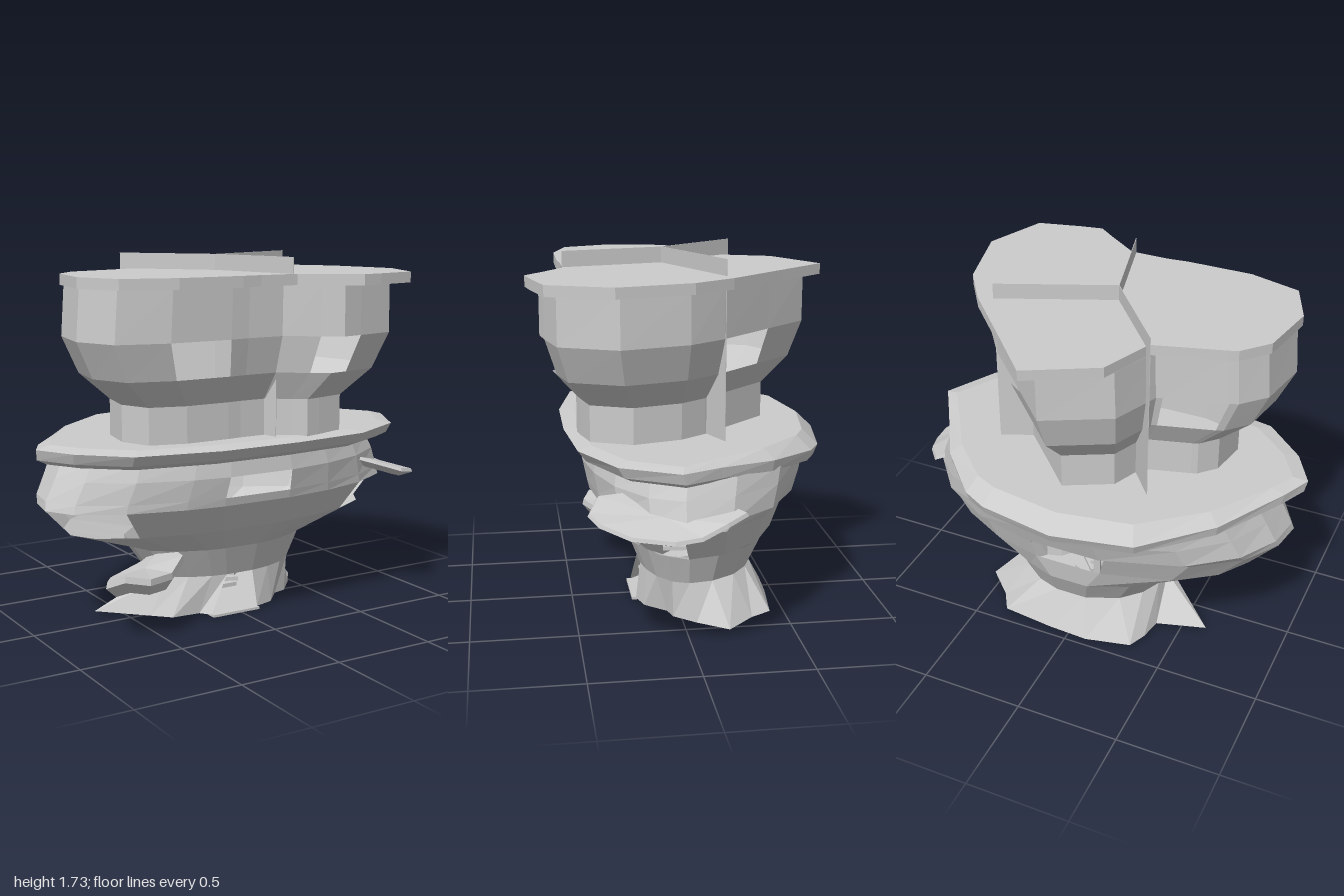
import * as THREE from 'three';

const material = new THREE.MeshStandardMaterial({ color: 0xcccccc, flatShading: true, side: THREE.DoubleSide });

// Joins rings of [x, y, z] points into a faceted skin; skip(row, i) leaves an opening.
function loft(name, rings, { skip = () => false, bottom = false, top = false } = {}) {
  const n = rings[0].length, pos = rings.flat(2), index = [];
  rings.slice(1).forEach((_, k) => {
    for (let i = 0; i < n; i++) {
      if (skip(k, i)) continue;
      const a = k * n + i, b = k * n + (i + 1) % n;
      index.push(a, a + n, b, b, a + n, b + n);
    }
  });
  const cap = (k, flip) => {
    const centre = pos.length / 3;
    for (let c = 0; c < 3; c++) pos.push(rings[k].reduce((s, p) => s + p[c], 0) / n);
    for (let i = 0; i < n; i++) {
      const a = k * n + i, b = k * n + (i + 1) % n;
      index.push(centre, flip ? a : b, flip ? b : a);
    }
  };
  if (bottom) cap(0, true);
  if (top) cap(rings.length - 1, false);
  const g = new THREE.BufferGeometry();
  g.setAttribute('position', new THREE.Float32BufferAttribute(pos, 3));
  g.setIndex(index);
  g.computeVertexNormals();
  const mesh = new THREE.Mesh(g, material);
  mesh.name = name;
  return mesh;
}

// Scales a plan outline of [x, z] points about a centre, at height y(z).
const scaled = (outline, y, sx, sz, cx, cz) =>
  outline.map(([x, z]) => [cx + (x - cx) * sx, y(z), cz + (z - cz) * sz]);

// Trunk: flared foot, bowl body, door and windows
function makeBody() {
  const angles = [2, 24, 46, 64, 80, 102, 114, 134, 156, 178, 194, 212, 232, 258, 282, 300, 320, 342];
  const foot = [[.45, -.06], [.36, .04], [.29, .06], [.2, .16], [.1, .19], [-.16, .19], [-.2, .14], [-.34, .13],
    [-.42, .05], [-.62, -.15], [-.38, -.22], [-.36, -.33], [-.32, -.42], [-.1, -.47], [.1, -.46], [.36, -.43],
    [.42, -.33], [.55, -.2]].map(([x, z]) => [x, 0.01, z]);
  // y, left x, right x, front z, back z
  const levels = [
    [.19, -.36, .40, .17, -.38], [.34, -.47, .46, .23, -.46], [.46, -.82, .80, .33, -.48], [.60, -.96, .90, .42, -.53],
    [.64, -.95, .89, .43, -.59], [.74, -.90, .85, .45, -.63], [.82, -.86, .81, .44, -.65],
  ];
  const rings = levels.map(([y, x0, x1, zf, zb]) => angles.map(d => {
    const a = d * Math.PI / 180, s = Math.sin(a), zc = zb + (zf - zb) * .62;
    return [(x0 + x1) / 2 + (x1 - x0) / 2 * Math.cos(a), y, zc + (s > 0 ? zf - zc : zc - zb) * s];
  }));
  const skip = (row, i) =>
    (row === 0 && i === 4) || (row === 3 && [0, 1, 7, 8, 13].includes(i)) || (row === 5 && i === 4);
  return loft('body', [foot, ...rings], { skip, bottom: true });
}

// Broad deck, dipping towards the back
function makeDeck() {
  const outline = [[.93, .08], [.79, .34], [.5, .49], [.1, .53], [-.3, .53], [-.7, .45], [-.9, .26], [-1, .08],
    [-.93, -.06], [-.72, -.38], [-.42, -.64], [-.04, -.71], [.33, -.65], [.45, -.59], [.66, -.37], [.82, -.1]];
  const dip = y => z => y - 0.06 * Math.max(0, -z / 0.7);
  return loft('deck', [
    scaled(outline, dip(.81), .94, .85, 0, -.07), scaled(outline, dip(.835), .99, .95, 0, -.25),
    scaled(outline, dip(.885), 1, 1, 0, -.05), scaled(outline, () => .9, .93, .88, 0, -.05),
  ], { bottom: true, top: true });
}

// Upper storey of three joined rooms under one flat roof
function makeTower() {
  const group = new THREE.Group();
  group.name = 'tower';
  const plan = [[.55, -.2], [.68, -.01], [.77, .34], [.65, .63], [.44, .68], [.33, .7], [.24, .63], [.09, .52],
    [-.1, .52], [-.2, .53], [-.52, .53], [-.77, .46], [-.86, .24], [-.81, -.05], [-.7, -.17], [-.66, -.185],
    [-.36, -.27], [-.33, -.28], [-.23, -.53], [.09, -.7], [.3, -.47]];
  const at = (y, sx, sz, dx = 0) =>
    scaled(plan, () => y, sx, sz, -.05, .05).map(([x, h, z]) => [x + dx, h, z]);
  const walls = [at(.89, .68, .65, -.02), at(1.07, .68, .65, -.02), at(1.2, .855, .82, -.035),
    at(1.37, .95, .905, -.04), at(1.6, .935, .905, -.035)];
  const windows = [4, 5, 9, 15, 20];
  group.add(loft('towerWalls', walls, { skip: (row, i) => row === 2 && windows.includes(i) }));
  group.add(loft('roof', [at(1.6, 1, 1), at(1.65, 1, 1)], { bottom: true, top: true }));

  // Thin partitions between rooms, carried up as ridges on the roof
  const hub = [-.05, .04];
  const panel = (name, x, z, reach, y0, y1) => {
    const dx = (x - hub[0]) * reach, dz = (z - hub[1]) * reach;
    const mesh = new THREE.Mesh(new THREE.BoxGeometry(Math.hypot(dx, dz), y1 - y0, .003), material);
    mesh.name = name;
    mesh.position.set(hub[0] + dx / 2, (y0 + y1) / 2, hub[1] + dz / 2);
    mesh.rotation.y = -Math.atan2(dz, dx);
    group.add(mesh);
  };
  for (const [x, z, reach] of [[.07, .52, .8], [-.36, -.34, 1], [.48, -.18, 1]]) {
    panel('partition', x, z, reach, .89, 1.63);
    panel('roofRidge', x, z, 1, 1.63, 1.725);
  }
  return group;
}

// Shelf growing from the trunk, rounded underneath
function makeShelf(name, rim, depth) {
  const n = rim.length;
  const c = [0, 1, 2].map(k => rim.reduce((s, p) => s + p[k], 0) / n);
  const inset = (s, dy) => rim.map(p => [c[0] + (p[0] - c[0]) * s, p[1] + (c[1] - p[1]) * (1 - s) + dy, c[2] + (p[2] - c[2]) * s]);
  return loft(name, [inset(.75, -depth), inset(1, -depth * .35), inset(.97, 0)], { bottom: true, top: true });
}

// Spiral stair inside the trunk
function makeStair() {
  const group = new THREE.Group();
  group.name = 'stair';
  const pole = new THREE.Mesh(new THREE.CylinderGeometry(.02, .02, .86, 6), material);
  pole.name = 'stairPole';
  pole.position.set(0, .44, -.1);
  group.add(pole);
  for (let i = 0; i < 18; i++) {
    const a = i * .42, step = new THREE.Mesh(new THREE.BoxGeometry(.14, .02, .07), material);
    step.name = 'step';
    step.position.set(.07 * Math.cos(a), .05 + i * .045, -.1 + .07 * Math.sin(a));
    step.rotation.y = -a;
    group.add(step);
  }
  return group;
}

export function createModel() {
  const model = new THREE.Group();
  model.name = 'treeHouse';
  model.add(makeBody(), makeDeck(), makeTower(), makeStair());
  model.add(makeShelf('upperShelf', [[.85, .68, -.22], [.93, .66, -.12], [.98, .62, 0], [.995, .61, .12], [.94, .62, .3],
    [.86, .66, .43], [.76, .68, .47], [.64, .72, .42], [.6, .73, .15], [.7, .71, -.1]], .045));
  model.add(makeShelf('lowerShelf', [[-.29, .34, -.03], [-.33, .34, .22], [-.45, .3, .33], [-.6, .31, .4],
    [-.71, .33, .36], [-.75, .28, .25], [-.66, .25, .1], [-.45, .28, .02]], .085));
  // Door sill
  const sill = new THREE.Mesh(new THREE.BoxGeometry(.26, .012, .1), material);
  sill.name = 'doorSill';
  sill.position.set(-.03, .006, .16);
  model.add(sill);
  return model;
}
